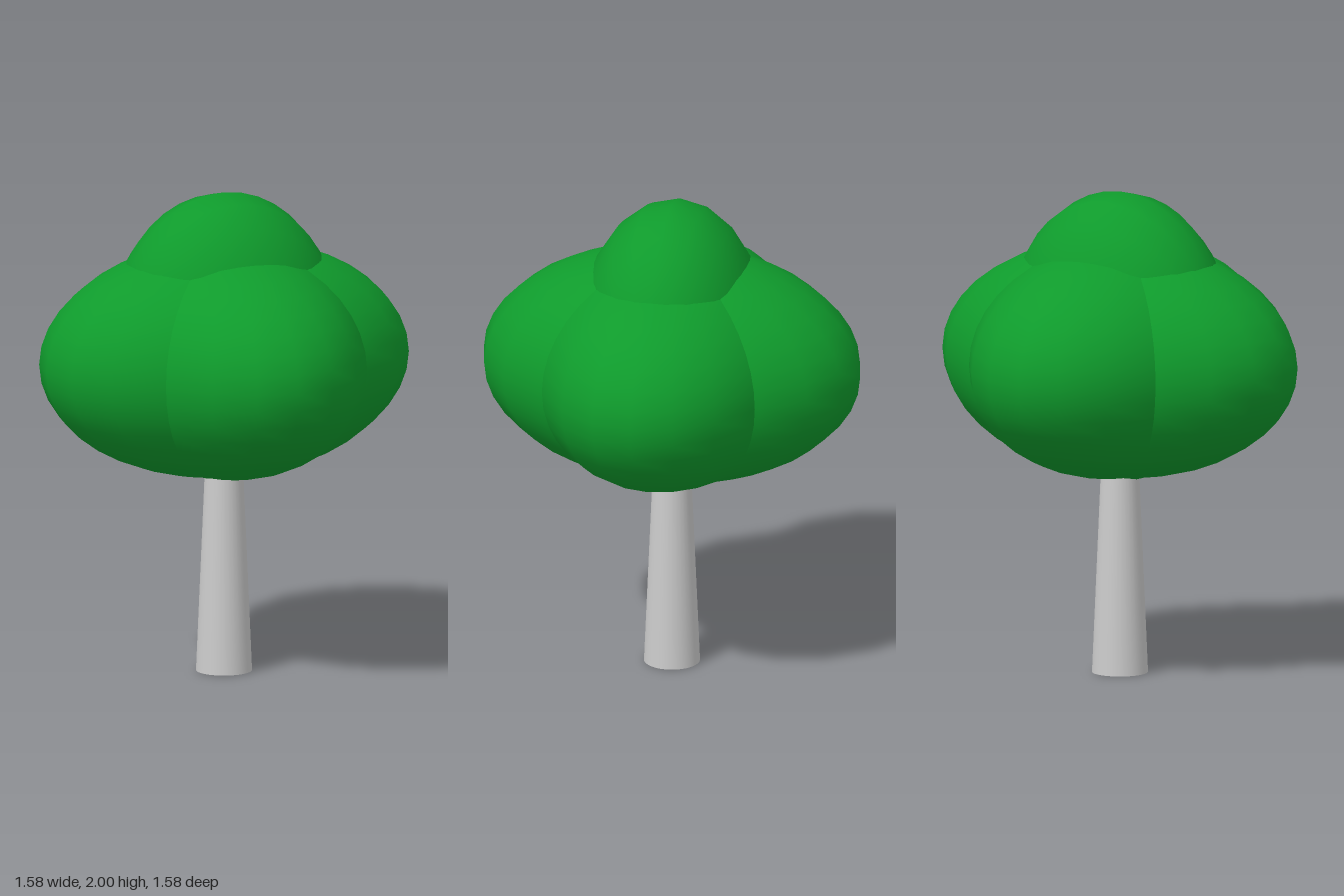
import * as THREE from 'three';

export function createModel() {
  const tree = new THREE.Group();
  tree.name = 'tree';

  const bark = new THREE.MeshStandardMaterial({ color: 0xcccccc });
  const leaves = new THREE.MeshStandardMaterial({ color: 0x0f9b2c });

  // Tapered trunk, running up into the foliage
  const trunkHeight = 1.2;
  const trunk = new THREE.Mesh(new THREE.CylinderGeometry(0.063, 0.115, trunkHeight, 32), bark);
  trunk.name = 'trunk';
  trunk.position.y = trunkHeight / 2;
  tree.add(trunk);

  // Foliage: stretched spheres with 20 sides round the equator
  const addFoliage = (name, geometry, y) => {
    const mesh = new THREE.Mesh(geometry, leaves);
    mesh.name = name;
    mesh.position.y = y;
    tree.add(mesh);
  };
  const ball = () => new THREE.SphereGeometry(1, 20, 20);

  // Two long crossing clumps
  const sideways = ball().scale(0.79, 0.488, 0.545);
  addFoliage('sidewaysFoliage', sideways, 1.307);
  addFoliage('lengthwaysFoliage', sideways.clone().rotateY(Math.PI / 2), 1.307);

  // Upright clump through the middle, poles along x
  addFoliage('crownFoliage', ball().rotateZ(Math.PI / 2).scale(0.49, 0.6, 0.388), 1.4);

  return tree;
}
